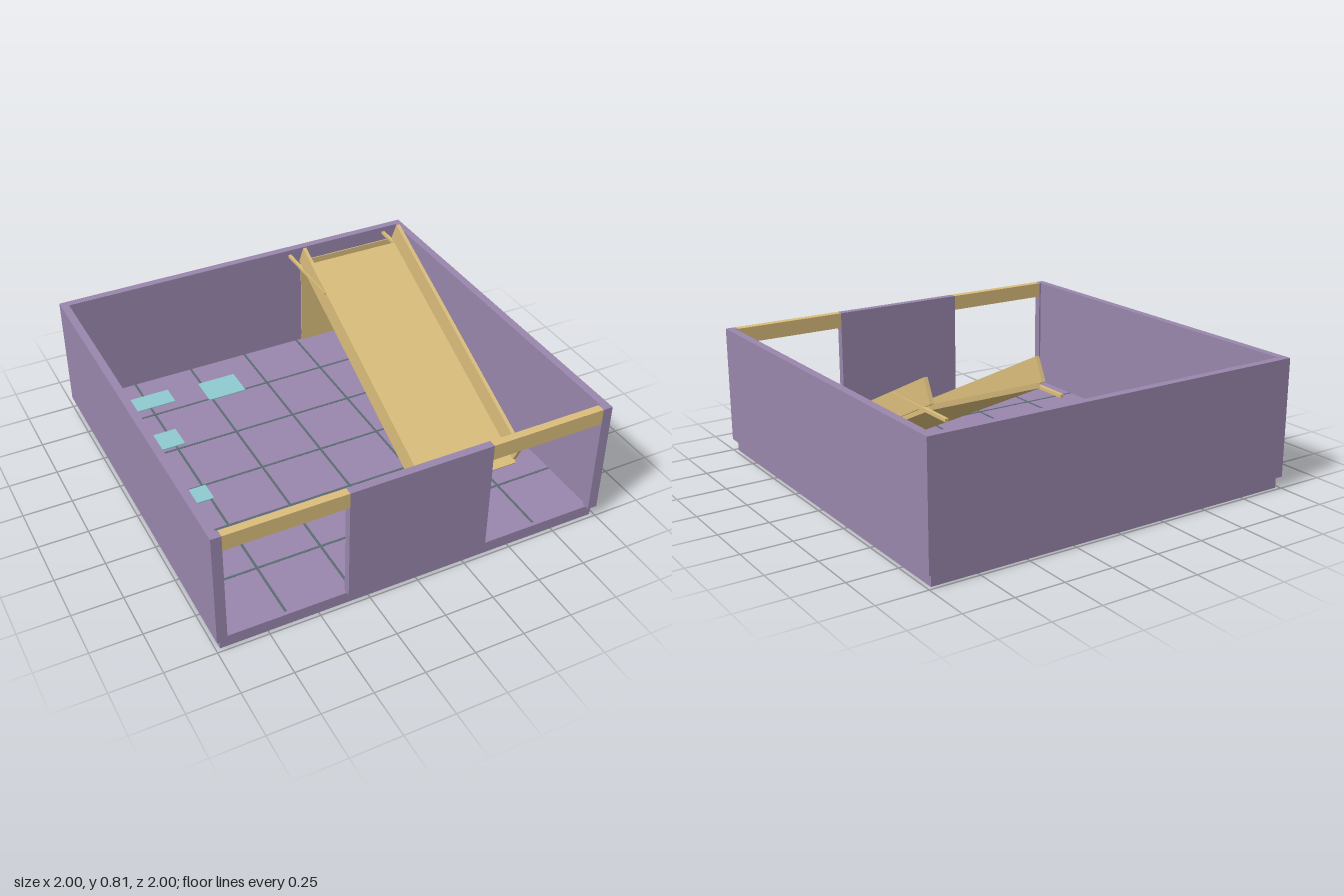
import * as THREE from 'three';

export function createModel() {
  const root = new THREE.Group();
  const mat = (name, color) => {
    const m = new THREE.MeshStandardMaterial({ color });
    m.name = name;
    return m;
  };
  const purple = mat('purple wall', 0x9a87ad);
  const wood = mat('light wood', 0xdabd7b);
  const cyan = mat('pale cyan', 0x8ecad0);
  const grout = mat('dark grout', 0x5c6c74);

  // Box given by its minimum and maximum on each axis
  const box = (name, material, [x0, x1], [y0, y1], [z0, z1], parent = root) => {
    const mesh = new THREE.Mesh(new THREE.BoxGeometry(x1 - x0, y1 - y0, z1 - z0), material);
    mesh.position.set((x0 + x1) / 2, (y0 + y1) / 2, (z0 + z1) / 2);
    mesh.name = name;
    parent.add(mesh);
    return mesh;
  };

  const FLOOR = 0.06, TOP = 0.66, DOOR = 0.58, IN = 0.96;
  const wallY = [FLOOR, TOP];

  // Floor slab with tile joints
  box('floorSlab', purple, [-0.98, 0.98], [0, FLOOR], [-0.98, 0.98]);
  for (let i = -2; i <= 2; i++) {
    const p = i * 0.327;
    box('tileJointLengthwise', grout, [p - 0.006, p + 0.006], [FLOOR, FLOOR + 0.002], [-IN, IN]);
    box('tileJointCrosswise', grout, [-IN, IN], [FLOOR, FLOOR + 0.0015], [p - 0.006, p + 0.006]);
  }

  // Walls, with two doorways in the front
  box('backWall', purple, [-IN, IN], wallY, [-1, -IN]);
  box('frontWallCentre', purple, [-0.36, 0.36], wallY, [IN, 1]);
  for (const s of [-1, 1]) {
    const span = (a, b) => (s > 0 ? [a, b] : [-b, -a]);
    box('sideWall', purple, span(IN, 1), wallY, [-1, 1]);
    box('doorJamb', purple, span(0.95, IN), wallY, [IN, 1]);
    box('doorLintel', wood, span(0.36, 0.95), [DOOR, TOP], [IN, 1]);
  }

  // Panel on the back wall behind the ramp
  box('backPanel', wood, [0.36, 0.955], [FLOOR, DOOR], [-IN, -IN + 0.006]);

  // Pale floor patches
  for (const [x, z] of [
    [[-0.775, -0.515], [-0.83, -0.715]],
    [[-0.345, -0.135], [-0.805, -0.64]],
    [[-0.77, -0.605], [-0.485, -0.35]],
    [[-0.755, -0.64], [0.005, 0.115]],
  ]) box('floorPatch', cyan, x, [FLOOR, FLOOR + 0.006], z);

  // Sloping ramp: local origin at the upper end of the rails' top edge
  const ramp = new THREE.Group();
  ramp.name = 'ramp';
  ramp.position.set(0, 0.805, -0.72);
  ramp.rotation.x = Math.atan(0.483);
  root.add(ramp);
  box('rampDeck', wood, [0.27, 0.832], [-0.136, -0.112], [0.035, 1.465], ramp);
  for (const x of [[0.261, 0.279], [0.825, 0.845]]) {
    box('rampRail', wood, x, [-0.116, 0], [0, 1.444], ramp);
  }

  // Level bars holding the upper end of the ramp
  for (const x of [[0.256, 0.272], [0.834, 0.85]]) {
    box('rampSupportBar', wood, x, [TOP, 0.675], [-0.895, -0.46]);
  }

  return root;
}
